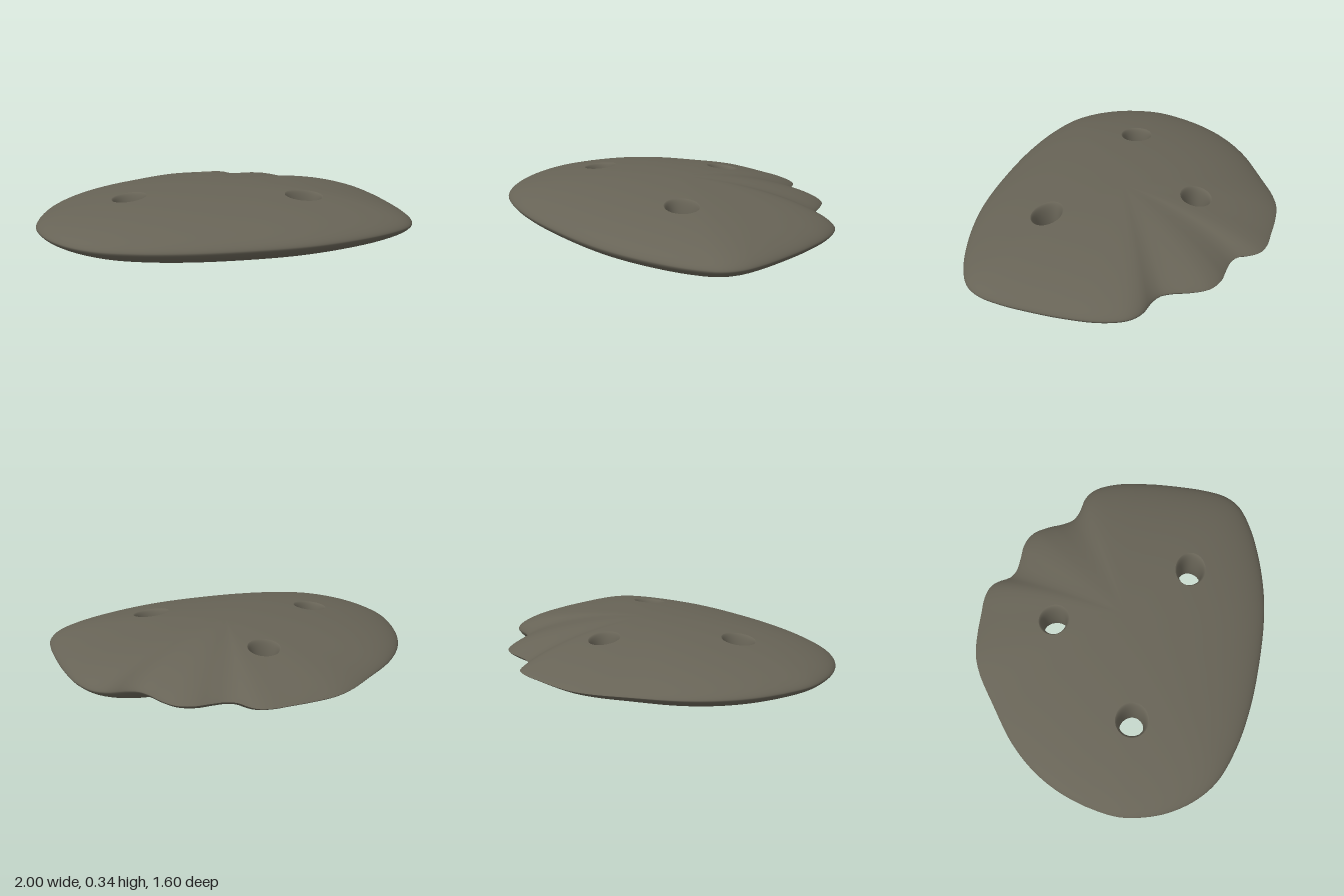
import * as THREE from 'three';
import { mergeVertices } from 'three/addons/utils/BufferGeometryUtils.js';

const CX = 0.05, CZ = 0.03, MID = 0.174, HALF = 0.172; // crown position, mid plane, half thickness
const LIP = 0.03; // rounding width around each hole

// Outline seen from above, with two notches at the back left
const OUTLINE = [
  [0.05, -0.8], [0.12, -0.785], [0.16, -0.75], [0.2, -0.69], [0.25, -0.665], [0.33, -0.662], [0.42, -0.663],
  [0.5, -0.63], [0.56, -0.55], [0.6, -0.47], [0.64, -0.42], [0.7, -0.397], [0.79, -0.385], [0.86, -0.34],
  [0.925, -0.22], [0.965, -0.05], [0.985, 0.1], [0.997, 0.3], [0.985, 0.42], [0.94, 0.51], [0.82, 0.6],
  [0.62, 0.69], [0.4, 0.755], [0.2, 0.785], [-0.1, 0.797], [-0.3, 0.788], [-0.5, 0.757], [-0.7, 0.69],
  [-0.83, 0.59], [-0.93, 0.45], [-0.985, 0.3], [-1, 0.2], [-0.985, 0.05], [-0.94, -0.12], [-0.86, -0.28],
  [-0.74, -0.43], [-0.55, -0.59], [-0.4, -0.705], [-0.3, -0.755], [-0.18, -0.78], [-0.05, -0.793],
];
const HOLES = [
  { x: -0.045, z: -0.36, rx: 0.063, rz: 0.06 },
  { x: -0.508, z: 0.18, rx: 0.068, rz: 0.064 },
  { x: 0.413, z: 0.315, rx: 0.077, rz: 0.059 },
];

// Outline as radius by angle around the crown
const curve = new THREE.CatmullRomCurve3(OUTLINE.map(([x, z]) => new THREE.Vector3(x, 0, z)), true, 'centripetal');
const polar = curve.getPoints(800)
  .map((p) => ({ a: Math.atan2(p.z - CZ, p.x - CX), r: Math.hypot(p.x - CX, p.z - CZ) }))
  .sort((p, q) => p.a - q.a);

function outlineRadius(angle) {
  const a = Math.atan2(Math.sin(angle), Math.cos(angle));
  let k = polar.findIndex((p) => p.a >= a);
  if (k <= 0) k = k < 0 ? polar.length - 1 : 1;
  const p = polar[k - 1], q = polar[k];
  const t = THREE.MathUtils.clamp((a - p.a) / (q.a - p.a || 1), 0, 1);
  return p.r + (q.r - p.r) * t;
}

// Half thickness of the lens, tapering more sharply to the back
function halfThickness(x, z) {
  const a = Math.atan2(z - CZ, x - CX);
  const s = Math.min(1, Math.hypot(x - CX, z - CZ) / outlineRadius(a));
  const power = 0.6 + 0.25 * Math.max(0, -Math.sin(a)) ** 2;
  return HALF * Math.max(0, 1 - s * s) ** power;
}

function smoothGeometry(positions, indices) {
  const g = new THREE.BufferGeometry();
  g.setAttribute('position', new THREE.Float32BufferAttribute(positions, 3));
  g.setIndex(indices);
  const merged = mergeVertices(g, 1e-5);
  merged.computeVertexNormals();
  return merged;
}

// Lens body: polar grid on both sides, trimmed around the holes
function bodyGeometry() {
  const N = 240, J = 64, positions = [], indices = [], inside = [];
  for (const side of [1, -1]) {
    const base = positions.length / 3;
    for (let j = 0; j <= J; j++) {
      const s = Math.sin((j / J) * Math.PI / 2);
      for (let i = 0; i < N; i++) {
        const a = (i / N) * Math.PI * 2, r = s * outlineRadius(a);
        let x = CX + r * Math.cos(a), z = CZ + r * Math.sin(a), cut = false;
        for (const h of HOLES) {
          const ex = h.rx + LIP - 0.004, ez = h.rz + LIP - 0.004;
          const d = Math.hypot((x - h.x) / ex, (z - h.z) / ez);
          if (d < 1) {
            cut = true;
            x = h.x + (x - h.x) / (d || 1);
            z = h.z + (z - h.z) / (d || 1);
          }
        }
        inside.push(cut);
        const y = j === J ? 0 : halfThickness(x, z);
        positions.push(x, MID + side * y, z);
      }
    }
    const face = (a, b, c) => {
      if (inside[a] && inside[b] && inside[c]) return;
      if (side > 0) indices.push(a, b, c);
      else indices.push(a, c, b);
    };
    for (let j = 0; j < J; j++) {
      for (let i = 0; i < N; i++) {
        const n = (i + 1) % N;
        const a = base + j * N + i, b = base + j * N + n, c = a + N, d = b + N;
        face(a, b, c);
        face(b, d, c);
      }
    }
  }
  return smoothGeometry(positions, indices);
}

// Rounded wall of a hole, running from the top surface to the underside
function holeGeometry(h) {
  const N = 48, K = 20, positions = [], indices = [];
  for (let k = 0; k <= K; k++) {
    const u = (k / K) * Math.PI, w = LIP * (1 - Math.sin(u));
    for (let i = 0; i < N; i++) {
      const a = (i / N) * Math.PI * 2, wobble = 1 + 0.03 * Math.sin(3 * a + h.x * 9);
      const x = h.x + (h.rx * wobble + w) * Math.cos(a);
      const z = h.z + (h.rz * wobble + w) * Math.sin(a);
      positions.push(x, MID + halfThickness(x, z) * Math.cos(u), z);
      if (k === K) continue;
      const p = k * N + i, q = k * N + (i + 1) % N;
      indices.push(p, p + N, q, q, p + N, q + N);
    }
  }
  return smoothGeometry(positions, indices);
}

export function createModel() {
  const stone = new THREE.MeshStandardMaterial({ color: 0x67635a });
  stone.name = 'dark stone';
  stone.color.set(0x676356);
  const group = new THREE.Group();
  group.name = 'piercedStone';
  const add = (name, geometry) => {
    const mesh = new THREE.Mesh(geometry, stone);
    mesh.name = name;
    group.add(mesh);
  };
  add('body', bodyGeometry());
  ['backHole', 'rightHole', 'leftHole'].forEach((name, i) => add(name, holeGeometry(HOLES[i])));
  return group;
}
